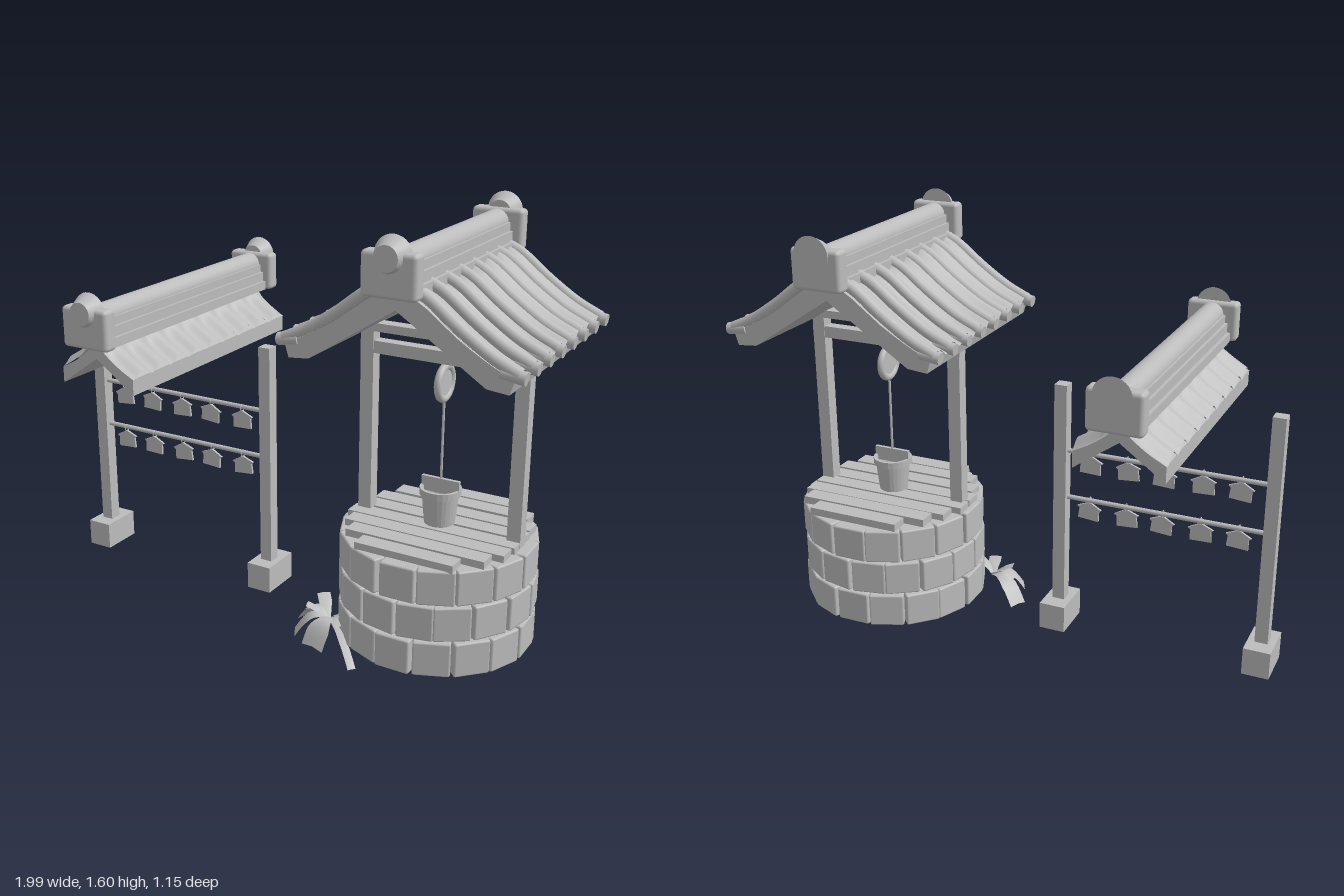
import * as THREE from 'three';
import { RoundedBoxGeometry } from 'three/addons/geometries/RoundedBoxGeometry.js';

const clay = new THREE.MeshStandardMaterial({ color: 0xbcbcbc, side: THREE.DoubleSide });
clay.name = 'plain grey';

function add(parent, name, geometry, x = 0, y = 0, z = 0) {
  const mesh = new THREE.Mesh(geometry, clay);
  mesh.name = name;
  mesh.position.set(x, y, z);
  parent.add(mesh);
  return mesh;
}
const box = (w, h, d) => new THREE.BoxGeometry(w, h, d);
function group(parent, name, x = 0, y = 0, z = 0) {
  const g = new THREE.Group();
  g.name = name;
  g.position.set(x, y, z);
  parent.add(g);
  return g;
}
let seed = 7;
const rand = () => (seed = (seed * 16807) % 2147483647) / 2147483647;
const curveOf = pts => new THREE.CatmullRomCurve3(pts.map(p => new THREE.Vector3(p[0], p[1], 0)));

// gable slab: curved top, straight underside, extruded along z
function roofSlab(parent, top, under, length) {
  const half = [...curveOf(top).getPoints(10).map(p => [p.x, p.y]), ...under];
  const s = new THREE.Shape();
  half.forEach(([x, y], i) => (i ? s.lineTo(x, y) : s.moveTo(x, y)));
  half.slice(1, -1).reverse().forEach(([x, y]) => s.lineTo(-x, y));
  const geo = new THREE.ExtrudeGeometry(s, { depth: length, bevelEnabled: false });
  geo.translate(0, 0, -length / 2);
  add(parent, 'roofSlab', geo);
}

// corrugated tiles following the slope on one side
function tileSheet(parent, pts, length, count, amp, side) {
  const curve = curveOf(pts);
  const geo = new THREE.PlaneGeometry(1, 1, 14, count * 10);
  const pos = geo.attributes.position;
  for (let i = 0; i < pos.count; i++) {
    const p = curve.getPoint(pos.getX(i) + 0.5);
    const t = pos.getY(i) + 0.5;
    const wave = Math.cos((t * count - 0.5) * Math.PI * 2) * amp;
    pos.setXYZ(i, p.x * side, p.y + wave, (t - 0.5) * length);
  }
  geo.computeVertexNormals();
  add(parent, 'roofTiles', geo);
}

// stacked ridge with end blocks and conical caps
function ridge(parent, y, half) {
  const g = group(parent, 'ridge', 0, y, 0);
  [[0.15, 0.035, 0.018], [0.125, 0.04, 0.052], [0.105, 0.035, 0.085]].forEach(([w, h, cy]) =>
    add(g, 'ridgeCourse', box(w, h, half * 2), 0, cy, 0));
  add(g, 'ridgeRoll', new THREE.CylinderGeometry(0.045, 0.045, half * 2, 20), 0, 0.101, 0).rotation.x = Math.PI / 2;
  for (const s of [1, -1]) {
    add(g, 'ridgeEndBlock', new RoundedBoxGeometry(0.194, 0.148, 0.06, 2, 0.015), 0, 0.074, s * (half + 0.03));
    add(g, 'ridgeCap', new THREE.CylinderGeometry(0.042, 0.067, 0.055, 28), 0, 0.131, s * (half + 0.05))
      .rotation.x = Math.PI / 2;
  }
}

function buildWell(root) {
  const well = group(root, 'well', 0.56, 0, 0);

  // stone ring
  add(well, 'innerWall', new THREE.CylinderGeometry(0.31, 0.31, 0.4, 40), 0, 0.265, 0);
  for (let row = 0; row < 3; row++) {
    for (let i = 0; i < 16; i++) {
      const a = ((i + (row % 2 ? 0.5 : 0) + (rand() - 0.5) * 0.08) / 16) * Math.PI * 2;
      const r = 0.315 + rand() * 0.006;
      const b = add(well, 'stoneBlock', new RoundedBoxGeometry(0.131, 0.128, 0.07, 1, 0.007),
        Math.sin(a) * r, 0.132 + row * 0.136, Math.cos(a) * r);
      b.rotation.y = a;
    }
  }
  // plank cover
  for (let i = 0; i < 8; i++) {
    const z = -0.273 + i * 0.078;
    const w = 2 * Math.sqrt(0.335 ** 2 - z * z) - 0.02;
    add(well, 'coverPlank', box(w, 0.03, 0.068), (rand() - 0.5) * 0.02, 0.477 + rand() * 0.006, z);
  }

  // frame
  for (const s of [1, -1]) add(well, 'wellPost', box(0.05, 1.11, 0.05), s * 0.29, 0.615, 0);
  add(well, 'crossBeam', box(0.635, 0.045, 0.045), 0, 1.108, 0);
  add(well, 'tieBeam', box(0.62, 0.03, 0.05), 0, 1.18, 0);

  // pulley and rope
  add(well, 'pulleyRim', new THREE.TorusGeometry(0.058, 0.014, 10, 32), 0, 1.015, 0).rotation.y = Math.PI / 2;
  add(well, 'pulleyWheel', new THREE.CylinderGeometry(0.048, 0.048, 0.012, 28), 0, 1.015, 0).rotation.z = Math.PI / 2;
  add(well, 'rope', new THREE.CylinderGeometry(0.005, 0.005, 0.34, 8), 0, 0.81, 0);

  // bucket
  const profile = [[0, 0.49], [0.055, 0.49], [0.066, 0.6], [0.074, 0.6], [0.075, 0.626], [0.064, 0.626], [0.05, 0.51], [0, 0.51]];
  const bucketGeo = new THREE.LatheGeometry(profile.map(p => new THREE.Vector2(...p)), 24).toNonIndexed();
  bucketGeo.computeVertexNormals();
  add(well, 'bucket', bucketGeo);
  add(well, 'bucketHandle', box(0.145, 0.055, 0.014), 0, 0.632, 0);

  // roof
  roofSlab(well, [[0, 1.43], [0.08, 1.395], [0.21, 1.3], [0.32, 1.235], [0.4, 1.198]],
    [[0.385, 1.15], [0.31, 1.157], [0, 1.36]], 0.8);
  const line = [[0.04, 1.43], [0.1, 1.405], [0.21, 1.322], [0.32, 1.25], [0.41, 1.208]];
  for (const s of [1, -1]) {
    tileSheet(well, line, 0.8, 8, 0.014, s);
    const path = curveOf(line.map(([x, y]) => [x * s, y]));
    for (let i = 0; i < 8; i++) {
      const z = -0.35 + i * 0.1;
      add(well, 'coverTile', new THREE.TubeGeometry(path, 14, 0.021, 10), 0, 0.004, z * 1.1);
      const end = add(well, 'tileEnd', new THREE.CylinderGeometry(0.022, 0.022, 0.08, 14), s * 0.392, 1.209, z * 1.1);
      end.rotation.z = Math.PI / 2 - s * 0.12;
    }
  }
  ridge(well, 1.405, 0.4);
}

function buildRack(root) {
  const rack = group(root, 'plaqueRack', -0.555, 0, 0);
  for (const s of [1, -1]) {
    add(rack, 'rackPost', box(0.048, 0.97, 0.048), s * 0.395, 0.55, 0);
    add(rack, 'rackFoot', box(0.1, 0.105, 0.165), s * 0.395, 0.115, -0.003);
  }
  // plaques hung on two rails
  const s = new THREE.Shape();
  [[-0.04, -0.075], [0.04, -0.075], [0.038, -0.035], [0.047, -0.028], [0, -0.005], [-0.047, -0.028], [-0.038, -0.035]]
    .forEach((p, i) => (i ? s.lineTo(...p) : s.moveTo(...p)));
  const plaque = new THREE.ExtrudeGeometry(s, { depth: 0.009, bevelEnabled: false });
  for (const y of [0.778, 0.592]) {
    add(rack, 'rail', new THREE.CylinderGeometry(0.009, 0.009, 0.76, 10), 0, y, 0).rotation.z = Math.PI / 2;
    for (let i = 0; i < 5; i++) {
      const x = -0.28 + i * 0.141;
      add(rack, 'plaque', plaque, x, y - 0.006, 0.004).rotation.z = (i % 2 ? -1 : 1) * (0.03 + rand() * 0.06);
      add(rack, 'plaqueString', new THREE.TorusGeometry(0.013, 0.002, 5, 14), x, y - 0.003, 0.006).rotation.y = Math.PI / 2;
    }
  }
  // small roof
  roofSlab(rack, [[0, 1.115], [0.05, 1.07], [0.1, 1.035], [0.157, 1.005]], [[0.157, 0.946], [0, 1.058]], 1.0);
  for (const side of [1, -1])
    tileSheet(rack, [[0.03, 1.125], [0.06, 1.085], [0.1, 1.055], [0.16, 1.018]], 1.0, 9, 0.015, side);
  ridge(rack, 1.105, 0.5);
}

// leaf: a bent ribbon from the root to a tip
function leaf(parent, tip, width, rise) {
  const geo = new THREE.PlaneGeometry(1, 1, 8, 2);
  const pos = geo.attributes.position;
  const [dx, dy, dz] = tip;
  const len = Math.hypot(dx, dz);
  for (let i = 0; i < pos.count; i++) {
    const t = pos.getX(i) + 0.5;
    const v = pos.getY(i) * width * (0.35 + 0.65 * Math.min(1, t * 1.6));
    const y = dy * t * t + rise * Math.sin(t * Math.PI) - Math.abs(v) * 0.15;
    pos.setXYZ(i, dx * t - (dz / len) * v, y, dz * t + (dx / len) * v);
  }
  geo.computeVertexNormals();
  add(parent, 'leaf', geo);
}

function buildPlant(root) {
  const plant = group(root, 'plant', 0.21, 0.09, 0.18);
  [[[-0.145, -0.065, -0.08], 0.07, 0.03], [[-0.11, -0.055, 0.06], 0.07, 0.03],
    [[0.19, -0.07, 0.17], 0.03, 0.02], [[-0.02, -0.08, 0.09], 0.1, 0.01],
    [[-0.08, 0.05, 0.02], 0.04, 0.02], [[0.08, 0.05, 0.03], 0.04, 0.02],
    [[-0.06, 0.06, -0.07], 0.05, 0.02], [[0.03, 0.04, 0.08], 0.05, 0.02],
    [[0.09, 0.02, 0.05], 0.04, 0.02], [[-0.1, 0.01, -0.02], 0.05, 0.03]]
    .forEach(args => leaf(plant, ...args));
}

export function createModel() {
  const root = new THREE.Group();
  root.name = 'wellAndRack';
  buildWell(root);
  buildRack(root);
  buildPlant(root);
  return root;
}
